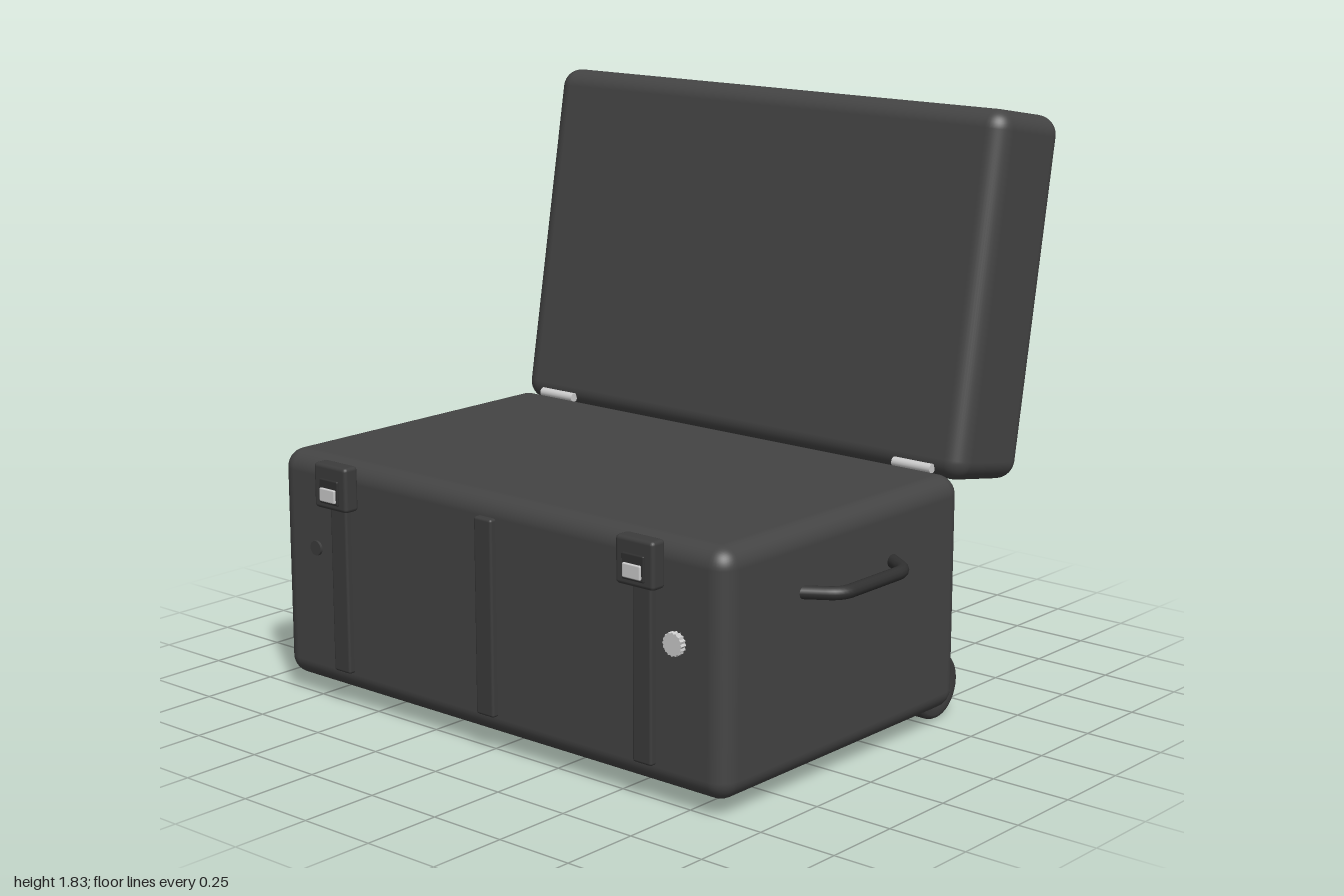
import * as THREE from 'three';
import { RoundedBoxGeometry } from 'three/addons/geometries/RoundedBoxGeometry.js';

const mat = (name, color) => {
  const m = new THREE.MeshStandardMaterial({ color });
  m.name = name;
  return m;
};

export function createModel() {
  const shell = mat('charcoal shell', 0x444444);
  const trim = mat('dark trim', 0x3c3c3c);
  const rubber = mat('black rubber', 0x303030);
  const metal = mat('light metal', 0xcccccc);

  const model = new THREE.Group();
  model.name = 'trunk';

  const add = (parent, name, geometry, material, x = 0, y = 0, z = 0) => {
    const mesh = new THREE.Mesh(geometry, material);
    mesh.name = name;
    mesh.position.set(x, y, z);
    parent.add(mesh);
    return mesh;
  };
  const rounded = (w, h, d, r, s = 2) => new RoundedBoxGeometry(w, h, d, s, r);

  // Bail handle: spans x, sticks out along +z from the origin plane
  const handleGeometry = () => {
    const path = new THREE.CurvePath();
    const v = (x, z) => new THREE.Vector3(x, 0, z);
    path.add(new THREE.LineCurve3(v(-0.225, -0.03), v(-0.17, 0.055)));
    path.add(new THREE.QuadraticBezierCurve3(v(-0.17, 0.055), v(-0.15, 0.085), v(-0.115, 0.088)));
    path.add(new THREE.LineCurve3(v(-0.115, 0.088), v(0.115, 0.088)));
    path.add(new THREE.QuadraticBezierCurve3(v(0.115, 0.088), v(0.15, 0.085), v(0.17, 0.055)));
    path.add(new THREE.LineCurve3(v(0.17, 0.055), v(0.225, -0.03)));
    return new THREE.TubeGeometry(path, 48, 0.02, 12, false);
  };

  // Lower case
  add(model, 'case', rounded(1.78, 0.725, 1.11, 0.06, 5), shell, 0, 0.4125, 0.22);

  // Open lid, leaning back
  const lid = new THREE.Group();
  lid.name = 'lid';
  lid.position.set(0, 1.27, -0.57);
  lid.rotation.x = THREE.MathUtils.degToRad(-10);
  model.add(lid);
  add(lid, 'lidShell', rounded(1.78, 1.11, 0.335, 0.06, 5), shell);
  add(lid, 'lidHandle', handleGeometry(), rubber, 0, 0, -0.1675).rotation.y = Math.PI;

  // Vertical ribs, front and back
  for (const x of [-0.61, 0, 0.61]) {
    add(model, 'frontRib', rounded(0.07, 0.6, 0.04, 0.008), trim, x, 0.415, 0.776);
    add(model, 'backRib', rounded(0.07, 0.6, 0.04, 0.008), trim, x, 0.415, -0.332);
  }

  // Wheel profile: rounded tread and a recessed hub
  const wheelGeometry = new THREE.LatheGeometry([
    [0, -0.025], [0.06, -0.025], [0.064, -0.035], [0.09, -0.035], [0.1, -0.031], [0.105, -0.022],
    [0.105, 0.022], [0.1, 0.031], [0.09, 0.035], [0.064, 0.035], [0.06, 0.025], [0, 0.025],
  ].map(([r, h]) => new THREE.Vector2(r, h)), 36);

  for (const side of [-1, 1]) {
    add(model, 'sideHandle', handleGeometry(), rubber, side * 0.89, 0.585, 0.22).rotation.y = side * Math.PI / 2;

    add(model, 'wheel', wheelGeometry, trim, side * 0.8, 0.107, -0.31).rotation.z = Math.PI / 2;

    const hinge = new THREE.CylinderGeometry(0.015, 0.015, 0.14, 16);
    add(model, 'hinge', hinge, metal, side * 0.725, 0.78, -0.31).rotation.z = Math.PI / 2;

    // Latch: block, dark socket and metal tongue
    const latch = new THREE.Group();
    latch.name = 'latch';
    latch.position.set(side * 0.61, 0.705, 0.8);
    model.add(latch);
    add(latch, 'latchBlock', rounded(0.14, 0.14, 0.054, 0.012), trim);
    add(latch, 'latchSocket', rounded(0.08, 0.076, 0.02, 0.004), rubber, 0, -0.012, 0.023);
    add(latch, 'latchTongue', rounded(0.066, 0.042, 0.02, 0.004), metal, 0, -0.022, 0.03);
  }

  // Ridged metal valve knob
  const star = new THREE.Shape();
  for (let i = 0; i < 32; i++) {
    const a = (i / 32) * Math.PI * 2;
    const r = i % 2 ? 0.031 : 0.035;
    star[i ? 'lineTo' : 'moveTo'](r * Math.cos(a), r * Math.sin(a));
  }
  star.closePath();
  const knob = new THREE.ExtrudeGeometry(star, { depth: 0.03, bevelEnabled: false });
  add(model, 'valveKnob', knob, metal, 0.72, 0.487, 0.765);

  // Small round plug
  const plug = new THREE.CylinderGeometry(0.023, 0.024, 0.02, 24);
  add(model, 'plug', plug, trim, -0.73, 0.485, 0.773).rotation.x = Math.PI / 2;

  return model;
}
